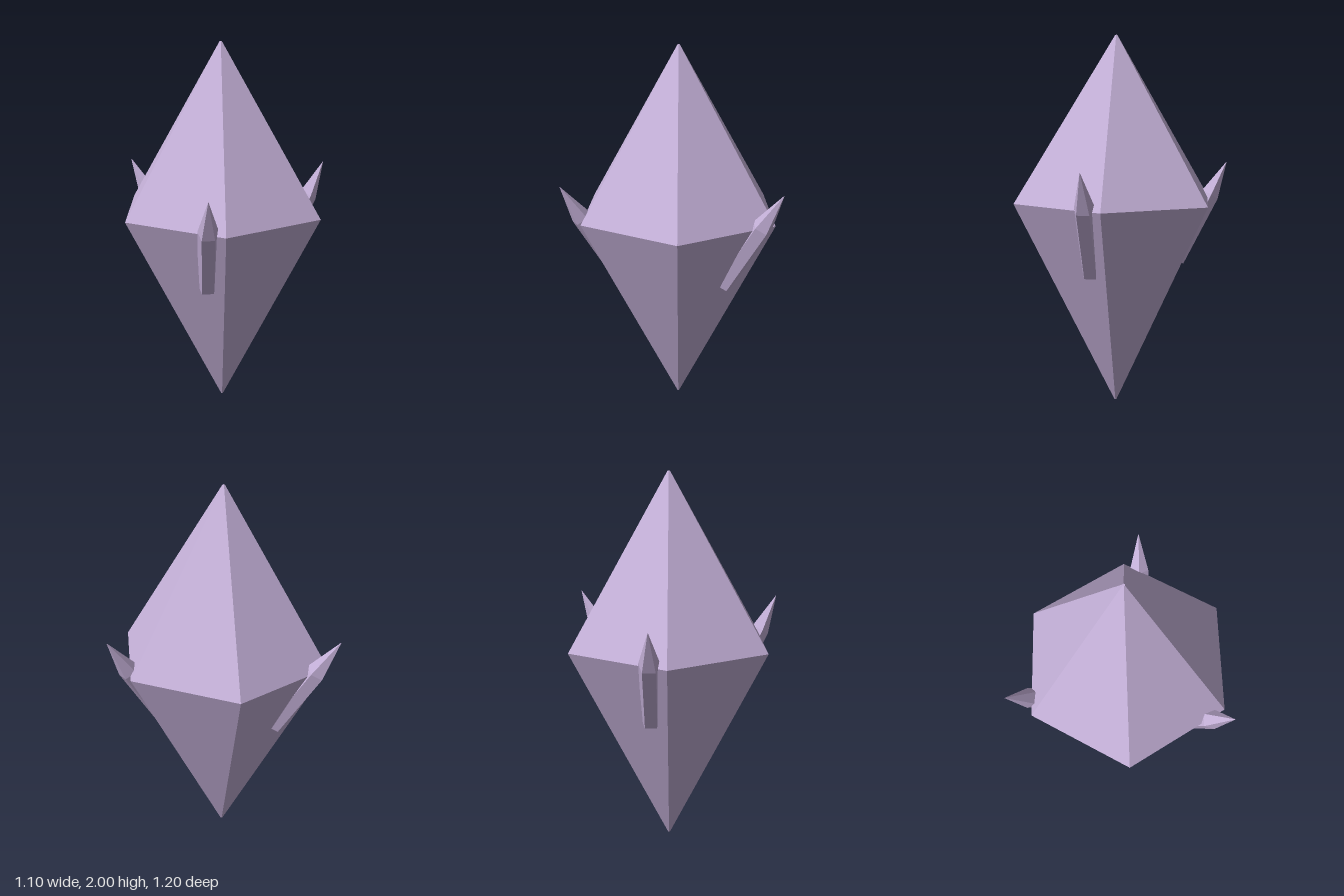
import * as THREE from 'three';

const EQUATOR = 1.14, RADIUS = 0.566, BLUNT = 0.006;

export function createModel() {
  const model = new THREE.Group();
  model.name = 'crystal';
  const lilac = new THREE.MeshStandardMaterial({ color: 0xc4b0d8 });
  lilac.name = 'lilac';

  // Faceted prism or cone standing on its own origin
  const add = (parent, name, top, bottom, height, sides, start, y, open) => {
    let geo = new THREE.CylinderGeometry(top, bottom, height, sides, 1, open, start);
    geo = geo.toNonIndexed();
    geo.computeVertexNormals();
    geo.translate(0, y + height / 2, 0);
    const mesh = new THREE.Mesh(geo, lilac);
    mesh.name = name;
    parent.add(mesh);
  };

  // Six-sided body: a long lower point and a shorter upper one
  const body = new THREE.Group();
  body.name = 'body';
  add(body, 'lowerPoint', RADIUS, BLUNT, EQUATOR, 6, 0, 0, false);
  add(body, 'upperPoint', BLUNT, RADIUS, 2 - EQUATOR, 6, 0, EQUATOR, false);

  // Three small five-sided shards leaning outwards around the equator
  for (let i = 0; i < 3; i++) {
    const pivot = new THREE.Group();
    pivot.name = 'shard' + (i + 1);
    pivot.rotation.y = i * Math.PI * 2 / 3;
    const shard = new THREE.Group();
    shard.name = 'leaningShard';
    shard.position.set(-0.082, 0.8, 0.32);
    shard.rotation.x = 0.536;
    add(shard, 'shardShaft', 0.053, 0.053, 0.407, 5, Math.PI / 5, 0, false);
    add(shard, 'shardTip', 0.001, 0.053, 0.21, 5, Math.PI / 5, 0.407, true);
    pivot.add(shard);
    body.add(pivot);
  }

  body.position.set(-0.04, 0, -0.035);
  model.add(body);
  return model;
}
